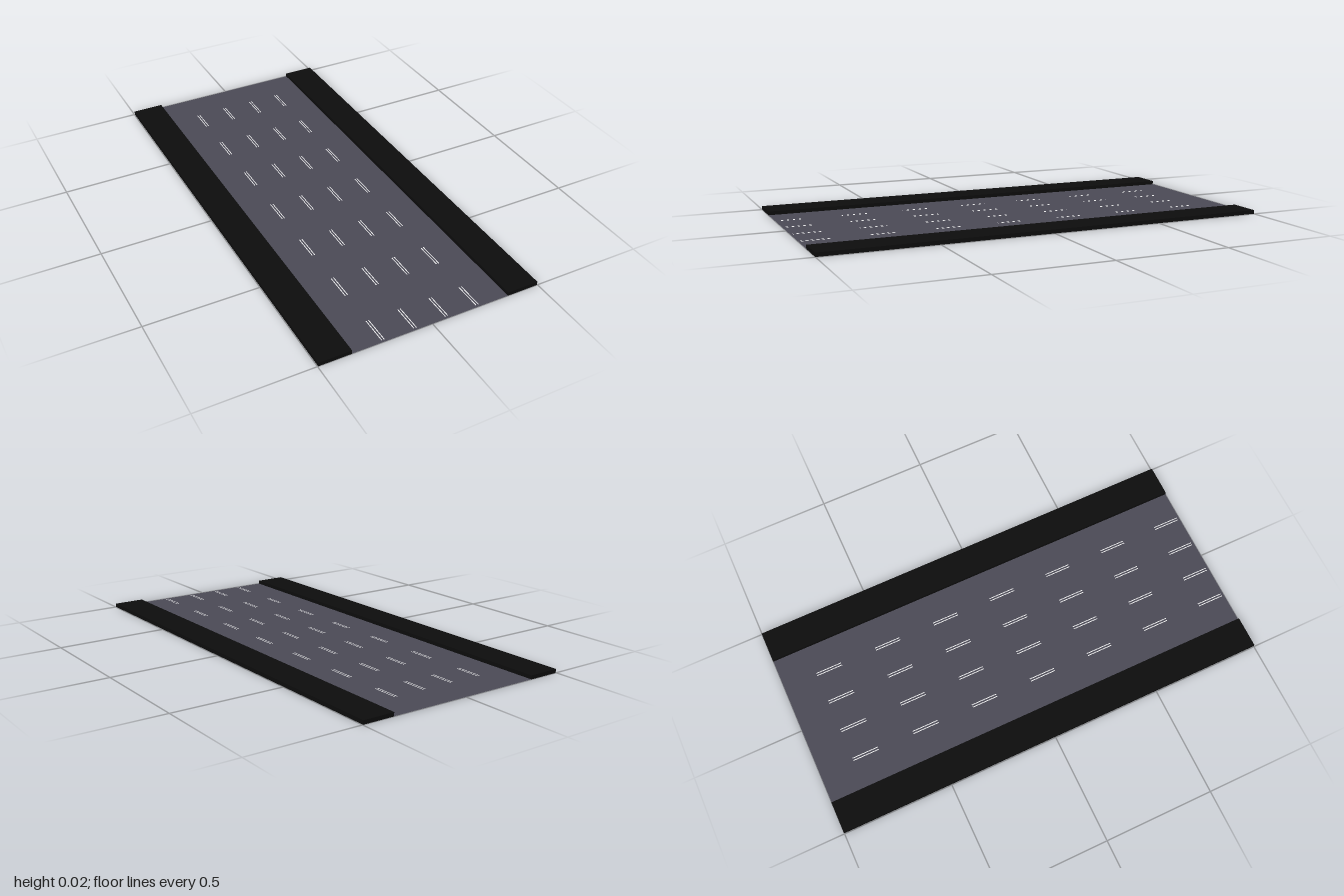
import * as THREE from 'three';

const LENGTH = 2;
const HALF_WIDTH = 0.4975;   // outer edge of the sidewalks
const ROAD_HALF = 0.355;     // inner edge of the sidewalks
const CURB_HEIGHT = 0.017;
const ROAD_Y = 0.0005;

function material(name, color, side = THREE.FrontSide) {
  const m = new THREE.MeshStandardMaterial({ color, side });
  m.name = name;
  return m;
}

function addFlat(parent, name, width, length, x, y, z, mat) {
  const mesh = new THREE.Mesh(new THREE.PlaneGeometry(width, length).rotateX(-Math.PI / 2), mat);
  mesh.name = name;
  mesh.position.set(x, y, z);
  parent.add(mesh);
}

export function createModel() {
  const group = new THREE.Group();
  group.name = 'road';
  const asphalt = material('asphalt grey', 0x4a4955, THREE.DoubleSide);
  const curb = material('sidewalk black', 0x0c0c0c);
  const paint = material('lane paint', 0xe8e8e8);

  // Thin road surface between the sidewalks
  addFlat(group, 'roadSurface', ROAD_HALF * 2, LENGTH, 0, ROAD_Y, 0, asphalt);

  // Raised sidewalks on both sides
  const width = HALF_WIDTH - ROAD_HALF;
  for (const side of [-1, 1]) {
    const walk = new THREE.Mesh(new THREE.BoxGeometry(width, CURB_HEIGHT, LENGTH), curb);
    walk.name = side > 0 ? 'leftSidewalk' : 'rightSidewalk';
    walk.position.set(side * (ROAD_HALF + width / 2), CURB_HEIGHT / 2, 0);
    group.add(walk);
  }

  // Double dashed lane lines: four lanes lines, seven dashes each
  const markings = new THREE.Group();
  markings.name = 'laneMarkings';
  for (const x of [-0.215, -0.072, 0.072, 0.215]) {
    for (let i = 0; i < 7; i++) {
      const z = -0.785 + i * 2 / 7;
      for (const dx of [-0.0055, 0.0055]) {
        addFlat(markings, 'laneDash', 0.004, 0.12, x + dx, ROAD_Y + 0.0004, z, paint);
      }
    }
  }
  group.add(markings);
  return group;
}
